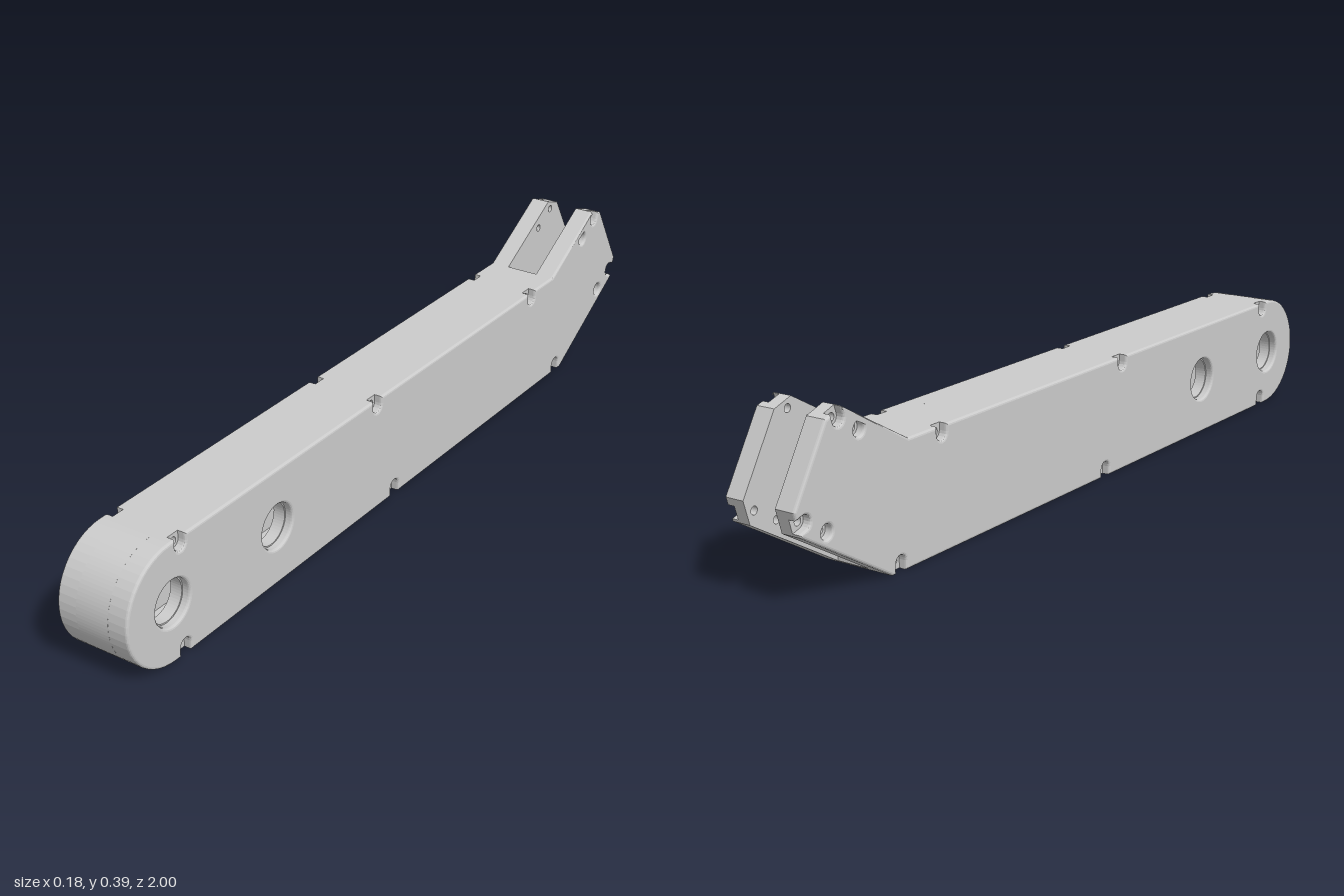
import * as THREE from 'three';

// Profiles are drawn with u = -z (towards the rear) and y up, then extruded across x.
const H = 0.277, R = H / 2, NOSE = -0.862;   // beam height, nose radius, nose centre
const HALF = 0.09, SEAT = 0.07, GAP = 0.041; // half width, screw seat depth, half fork gap
const BEVEL = 0.006, NOTCH = 0.016;

const corners = [[NOSE, 0], [0.717, 0], [0.984, 0.16], [1, 0.214], [0.904, 0.374], [0.856, 0.39], [0.658, H], [NOSE, H]];
// screws that break out through an edge, listed by edge index
const edgeScrews = {
  0: [[-0.83, 0.02], [-0.07, 0.02], [0.69, 0.02]],
  2: [[0.971, 0.187]],
  4: [[0.867, 0.367]],
  6: [[0.55, 0.26], [-0.14, 0.26], [-0.83, 0.26]],
};
const innerScrews = [[0.808, 0.332], [0.91, 0.151]];
const pivots = [-0.862, -0.517];

function circle(u, y, r) {
  return new THREE.Path().absarc(u, y, r, 0, Math.PI * 2, true);
}

// side outline; optionally with U-shaped screw notches cut into the edges
function outline(notched) {
  const pts = [];
  for (let i = 0; i < corners.length - 1; i++) {
    const a = new THREE.Vector2(...corners[i]), b = new THREE.Vector2(...corners[i + 1]);
    const dir = b.clone().sub(a).normalize(), inward = new THREE.Vector2(-dir.y, dir.x);
    pts.push(a);
    for (const c of notched && edgeScrews[i] || []) {
      const rel = new THREE.Vector2(...c).sub(a);
      const along = rel.dot(dir), depth = rel.dot(inward);
      const at = (s, d) => a.clone().addScaledVector(dir, along + s).addScaledVector(inward, d);
      pts.push(at(-NOTCH, 0));
      for (let k = 0; k <= 8; k++) {
        const t = Math.PI * (1 - k / 8);
        pts.push(at(NOTCH * Math.cos(t), depth + NOTCH * Math.sin(t)));
      }
      pts.push(at(NOTCH, 0));
    }
  }
  for (let k = 0; k < 24; k++) {
    const t = Math.PI * (0.5 + k / 24);
    pts.push(new THREE.Vector2(NOSE + R * Math.cos(t), R + R * Math.sin(t)));
  }
  return new THREE.Shape(pts);
}

export function createModel() {
  const group = new THREE.Group();
  const material = new THREE.MeshStandardMaterial({ color: 0xcccccc });

  function add(name, shape, x, depth, bevel = 0) {
    const geometry = new THREE.ExtrudeGeometry(shape, {
      depth, curveSegments: 24, bevelEnabled: bevel > 0, bevelSize: bevel,
      bevelThickness: bevel, bevelOffset: -bevel, bevelSegments: 3,
    });
    geometry.translate(0, 0, x);
    geometry.rotateY(Math.PI / 2);
    const mesh = new THREE.Mesh(geometry, material);
    mesh.name = name;
    group.add(mesh);
  }

  // inner plates: small screw holes and the narrow part of the pivot holes
  const inner = outline(false);
  for (const [u, y] of [...Object.values(edgeScrews).flat(), ...innerScrews]) inner.holes.push(circle(u, y, 0.009));
  for (const u of pivots) inner.holes.push(circle(u, R, 0.05));

  // outer plates: rounded rim, screw counterbores and wider pivot holes
  const outer = outline(true);
  for (const [u, y] of innerScrews) outer.holes.push(circle(u, y, NOTCH));
  for (const u of pivots) outer.holes.push(circle(u, R, 0.053));

  const rim = HALF - SEAT - BEVEL;
  add('leftInnerPlate', inner, GAP, SEAT - GAP);
  add('rightInnerPlate', inner, -SEAT, SEAT - GAP);
  add('leftOuterPlate', outer, SEAT, rim, BEVEL);
  add('rightOuterPlate', outer, -HALF + BEVEL, rim, BEVEL);

  // hollow core: nose and top wall, open at the rear fork
  const wall = 0.02, start = Math.PI * 1.4;
  const top = new THREE.Shape();
  top.absarc(NOSE, R, R, start, Math.PI / 2, true);
  top.lineTo(0.655, H);
  top.lineTo(0.655, H - wall);
  top.absarc(NOSE, R, R - wall, Math.PI / 2, start, false);
  top.closePath();
  add('noseAndTopWall', top, -GAP, GAP * 2);

  // bottom wall, leaving a slot under the nose
  const bottom = new THREE.Shape([[-0.8, 0], [0.717, 0], [0.735, 0.011], [0.735, wall], [-0.8, wall]]
    .map(p => new THREE.Vector2(...p)));
  add('bottomWall', bottom, -GAP, GAP * 2);

  return group;
}
